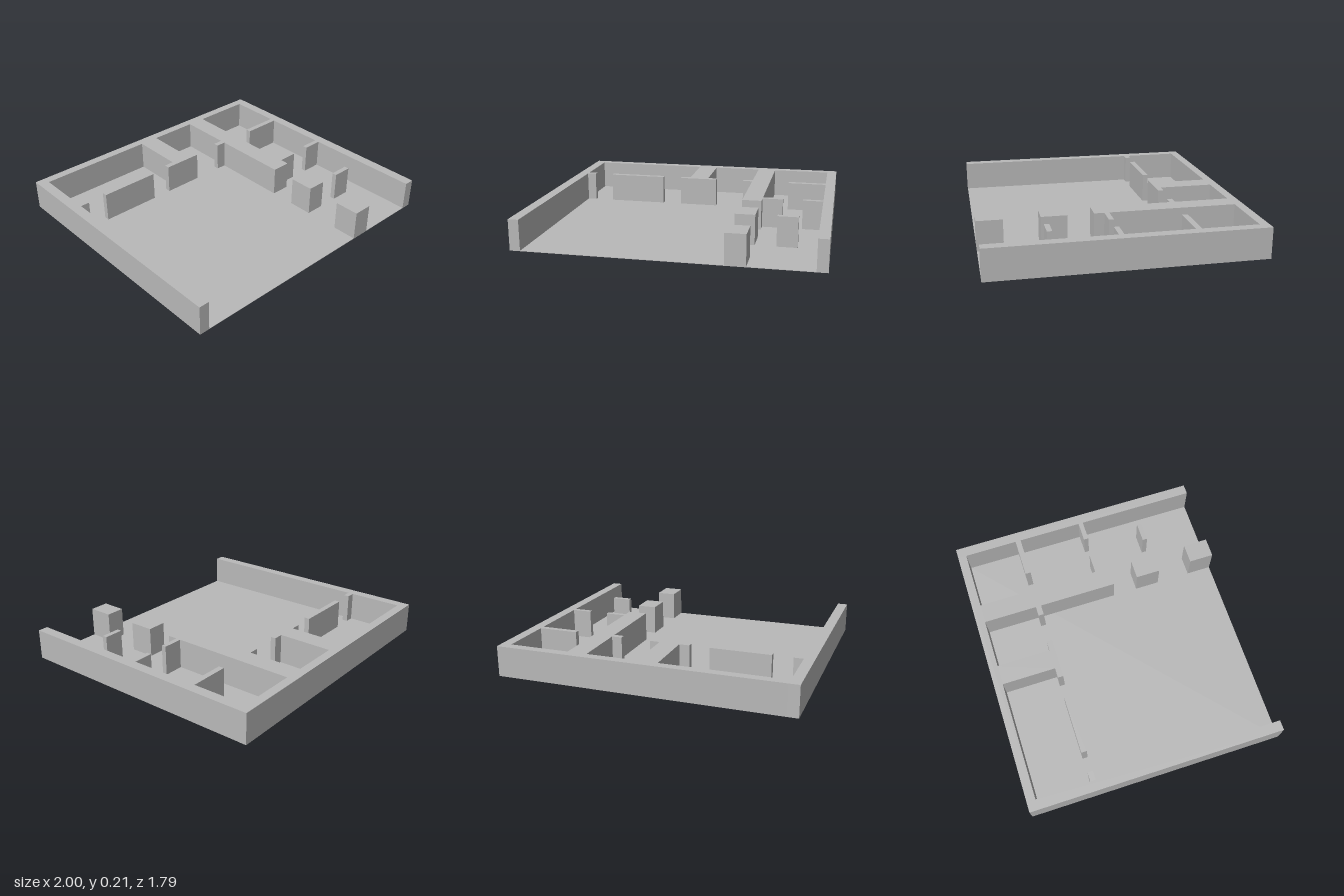
import * as THREE from 'three';

const HEIGHT = 0.208;
const FLOOR = 0.003;
const X = 1, Z = 0.893;       // half width and half depth of the plan
const IN_X = 0.93;            // inner face of the side walls
const IN_Z = -0.832;          // inner face of the back wall
const ROW = [-0.456, -0.418]; // thin partition row behind the large room
const DOOR = [0.032, 0.065];  // thin partition row beside the hall
const HALL = [0.38, 0.514];   // thick wall and pillars in line with it

export function createModel() {
  const model = new THREE.Group();
  model.name = 'floorPlan';
  const plaster = new THREE.MeshStandardMaterial({ color: 0xb9b9b9 });
  plaster.name = 'plaster grey';

  // Upright block covering a rectangle of the plan
  const block = (name, [x0, x1], [z0, z1], y0 = FLOOR, y1 = HEIGHT) => {
    const mesh = new THREE.Mesh(new THREE.BoxGeometry(x1 - x0, y1 - y0, z1 - z0), plaster);
    mesh.position.set((x0 + x1) / 2, (y0 + y1) / 2, (z0 + z1) / 2);
    mesh.name = name;
    model.add(mesh);
  };

  block('floor', [-X, X], [-Z, Z], 0, FLOOR);

  // Outer walls, open at the front
  block('rightOuterWall', [-X, -IN_X], [-Z, Z]);
  block('leftOuterWall', [IN_X, X], [-Z, Z]);
  block('backOuterWall', [-IN_X, IN_X], [-Z, IN_Z]);

  // Thick dividing walls running forward from the back wall
  block('backRoomDivider', [-0.105, 0.034], [IN_Z, ROW[0]]);
  block('hallWall', HALL, [IN_Z, 0.132]);

  // Thin partitions with door gaps between them
  for (const span of [[-IN_X, -0.866], [-0.728, -0.314], [-0.176, 0.102], [0.31, HALL[0]], [0.655, IN_X]])
    block('backPartition', span, ROW);
  for (const span of [[HALL[1], 0.655], [0.792, IN_X]])
    block('sidePartition', span, DOOR);
  block('screenWall', [0.655, 0.792], [0.446, 0.48]);

  // Pillars continuing the hall wall to the front
  for (const span of [[0.308, 0.48], [0.721, Z]])
    block('pillar', HALL, span);

  return model;
}
